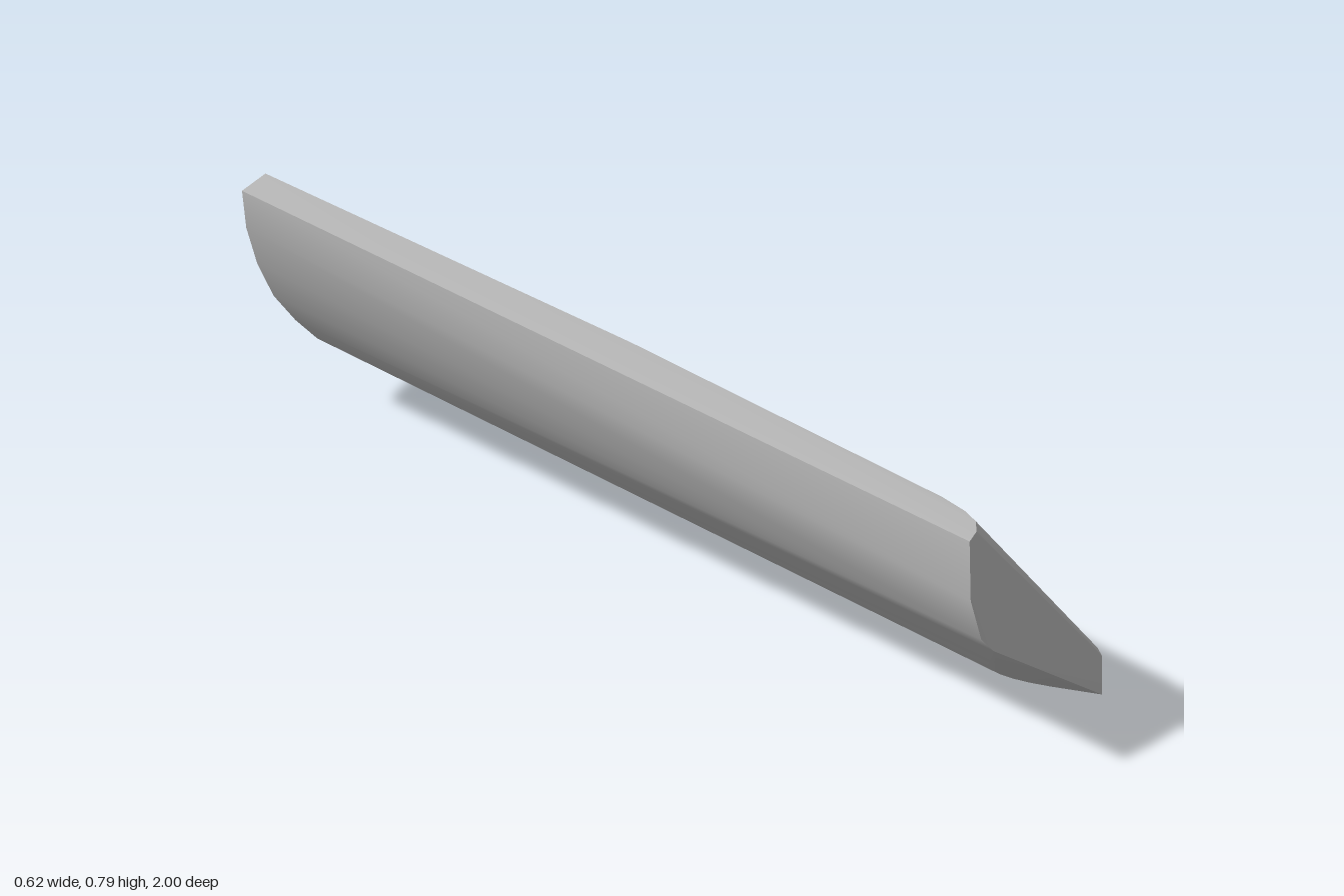
import * as THREE from 'three';
import { ConvexGeometry } from 'three/addons/geometries/ConvexGeometry.js';
import { toCreasedNormals } from 'three/addons/utils/BufferGeometryUtils.js';

const grey = new THREE.MeshStandardMaterial({ color: 0xb8b8b8 });
grey.name = 'grey';

// Outline of the rear end: flat top, sloping face, short wall, curved underside
const rearEnd = [
  [-0.205, 0.787, -0.985], [0.27, 0.16, -1], [0.27, 0.055, -1],
  [0.17, 0.115, -0.998], [0.064, 0.188, -0.997], [-0.02, 0.264, -0.996],
  [-0.095, 0.352, -0.994], [-0.17, 0.455, -0.992], [-0.227, 0.57, -0.99],
  [-0.265, 0.68, -0.988], [-0.283, 0.785, -0.985],
];

// Slight swell of the long wall and top edge at mid length
const middle = [
  [0.31, 0.107, 0.1], [0.31, 0.022, 0.1], [-0.205, 0.787, 0],
];

// Blunt nose face, with its rounded top corner and short right edge
const nose = [
  [-0.313, 0.775, 0.997], [-0.313, 0.625, 1], [-0.278, 0.508, 1], [-0.237, 0.457, 1],
  [-0.275, 0.775, 0.985], [-0.247, 0.775, 0.96], [-0.232, 0.775, 0.92], [-0.222, 0.775, 0.85],
  [0.287, 0.105, 0.866], [0.287, 0.007, 0.866],
  [0.31, 0.1, 0.835], [0.31, 0, 0.835],
];

// Rounded edge between the nose and the underside
const keel = [
  [-0.17, 0.382, 0.95], [-0.1, 0.303, 0.88], [-0.05, 0.248, 0.83], [0, 0.195, 0.8],
  [0.05, 0.15, 0.785], [0.1, 0.11, 0.78], [0.15, 0.075, 0.785], [0.2, 0.045, 0.8],
];

export function createModel() {
  const group = new THREE.Group();
  group.name = 'wedge';
  const points = [...rearEnd, ...middle, ...nose, ...keel].map((p) => new THREE.Vector3(...p));
  const body = new THREE.Mesh(toCreasedNormals(new ConvexGeometry(points), 0.5), grey);
  body.name = 'wedgeBody';
  group.add(body);
  return group;
}
